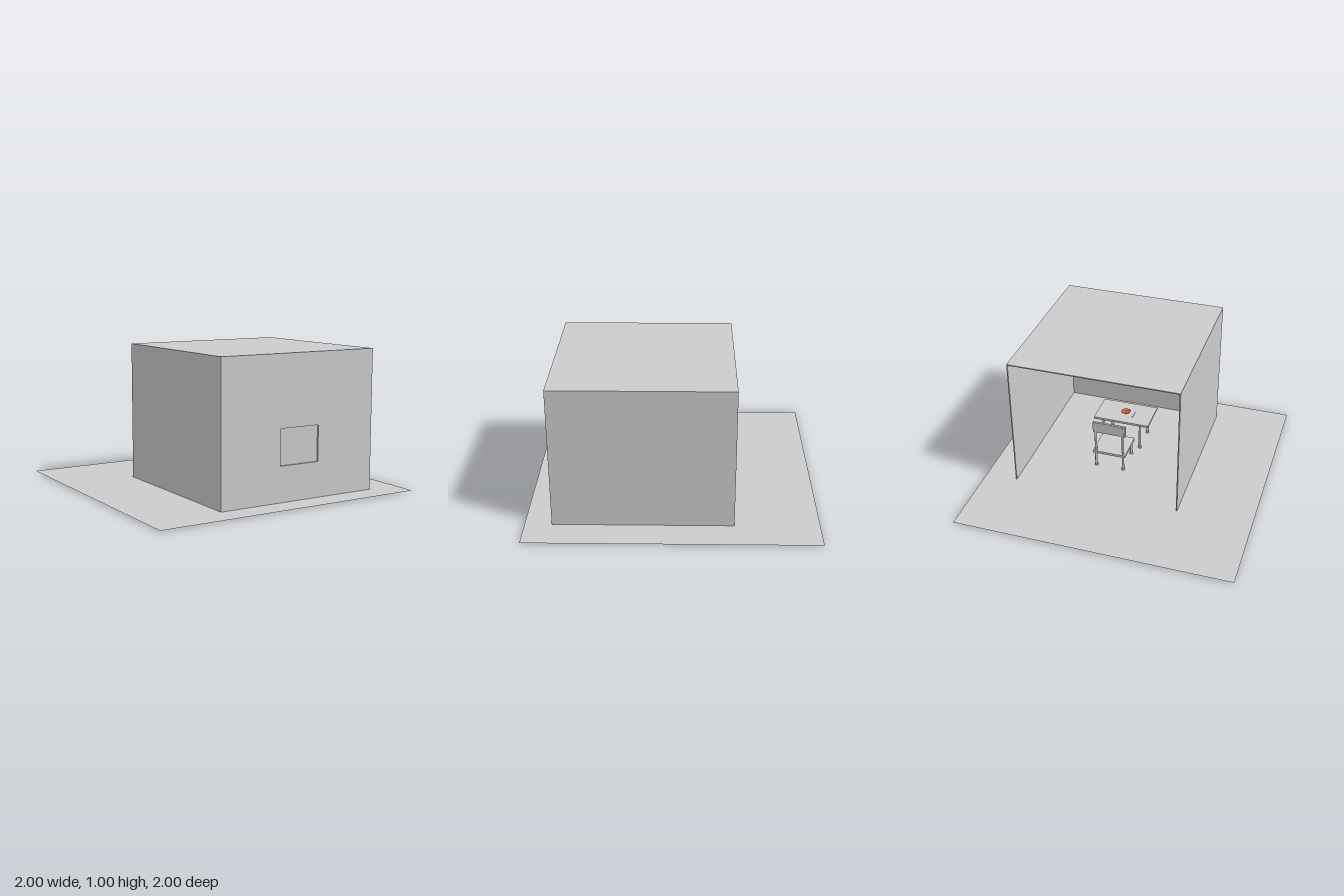
import * as THREE from 'three';

const grey = new THREE.MeshStandardMaterial({ color: 0xcccccc });
const greyThin = new THREE.MeshStandardMaterial({ color: 0xcccccc, side: THREE.DoubleSide });
const darkGrey = new THREE.MeshStandardMaterial({ color: 0xaaaaaa });
const orange = new THREE.MeshStandardMaterial({ color: 0xc0562a, side: THREE.DoubleSide });

function add(parent, name, geometry, material = grey) {
  const mesh = new THREE.Mesh(geometry, material);
  mesh.name = name;
  parent.add(mesh);
  return mesh;
}

// Box given by its lowest and highest corners
function box(parent, name, [x0, y0, z0], [x1, y1, z1], material) {
  const mesh = add(parent, name, new THREE.BoxGeometry(x1 - x0, y1 - y0, z1 - z0), material);
  mesh.position.set((x0 + x1) / 2, (y0 + y1) / 2, (z0 + z1) / 2);
  return mesh;
}

// Upright round bar
function bar(parent, name, x, z, y0, y1, radius) {
  const mesh = add(parent, name, new THREE.CylinderGeometry(radius, radius, y1 - y0, 16));
  mesh.position.set(x, (y0 + y1) / 2, z);
  return mesh;
}

// Four legs with small foot caps, placed symmetrically about (cx, cz)
function legs(parent, cx, cz, halfX, halfZ, bottom, top) {
  for (const sx of [-1, 1]) {
    for (const sz of [-1, 1]) {
      const x = cx + sx * halfX, z = cz + sz * halfZ;
      bar(parent, 'leg', x, z, bottom, top, 0.009);
      bar(parent, 'foot', x, z, bottom, bottom + 0.014, 0.013);
    }
  }
}

export function createModel() {
  const model = new THREE.Group();
  model.name = 'roomScene';

  const X0 = -0.46, X1 = 0.77, Z0 = -0.42, Z1 = 0.815;
  const T = 0.008;
  const GROUND = 0.007;
  const CX = (X0 + X1) / 2;

  // Ground sheet
  const ground = add(model, 'ground', new THREE.PlaneGeometry(2, 2), greyThin);
  ground.rotation.x = -Math.PI / 2;
  ground.position.y = GROUND;

  // Room shell, open at the back
  const room = new THREE.Group();
  room.name = 'room';
  model.add(room);
  box(room, 'floor', [X0 + T, 0, Z0], [X1 - T, GROUND - 0.002, Z1 - T], darkGrey);
  box(room, 'roof', [X0, 1 - T, Z0], [X1, 1, Z1]);
  box(room, 'rightWall', [X0, 0, Z0], [X0 + T, 1 - T, Z1]);
  box(room, 'leftWall', [X1 - T, 0, Z0], [X1, 1 - T, Z1]);

  // Front wall with a recessed window
  const W = { x0: 0, x1: 0.31, y0: 0.255, y1: 0.505 };
  const wall = new THREE.Shape();
  wall.moveTo(X0 + T, 0).lineTo(X1 - T, 0).lineTo(X1 - T, 1 - T).lineTo(X0 + T, 1 - T).closePath();
  const hole = new THREE.Path();
  hole.moveTo(W.x0, W.y0).lineTo(W.x0, W.y1).lineTo(W.x1, W.y1).lineTo(W.x1, W.y0).closePath();
  wall.holes.push(hole);
  const frontWall = add(room, 'frontWall',
    new THREE.ExtrudeGeometry(wall, { depth: 0.014, bevelEnabled: false }));
  frontWall.position.z = Z1 - 0.014;
  box(room, 'windowPane', [W.x0, W.y0, Z1 - 0.014], [W.x1, W.y1, Z1 - 0.011]);

  // Chair, facing the table
  const chair = new THREE.Group();
  chair.name = 'chair';
  model.add(chair);
  const chairZ = 0.03;
  legs(chair, CX, chairZ, 0.105, 0.105, GROUND, 0.126);
  box(chair, 'seat', [CX - 0.125, 0.126, chairZ - 0.12], [CX + 0.125, 0.145, chairZ + 0.12]);
  for (const s of [-1, 1]) bar(chair, 'backPost', CX + s * 0.105, chairZ - 0.105, 0.145, 0.385, 0.009);
  box(chair, 'backrest', [CX - 0.125, 0.31, chairZ - 0.112], [CX + 0.125, 0.395, chairZ - 0.096]);

  // Table
  const table = new THREE.Group();
  table.name = 'table';
  model.add(table);
  const tableZ = 0.33, tableTop = 0.238;
  legs(table, CX, tableZ, 0.145, 0.105, GROUND, tableTop - 0.016);
  box(table, 'tableTop', [CX - 0.215, tableTop - 0.016, tableZ - 0.13], [CX + 0.215, tableTop, tableZ + 0.13]);

  // Shallow dish and cutlery
  const profile = [[0, 0.002], [0.02, 0.002], [0.034, 0.012], [0.036, 0.011], [0.022, 0]];
  const dish = add(model, 'dish',
    new THREE.LatheGeometry(profile.map(([r, y]) => new THREE.Vector2(r, y)), 32), orange);
  dish.position.set(CX, tableTop, tableZ);
  box(model, 'cutlery', [CX - 0.07, tableTop, tableZ - 0.05], [CX - 0.06, tableTop + 0.004, tableZ + 0.03]);

  return model;
}
